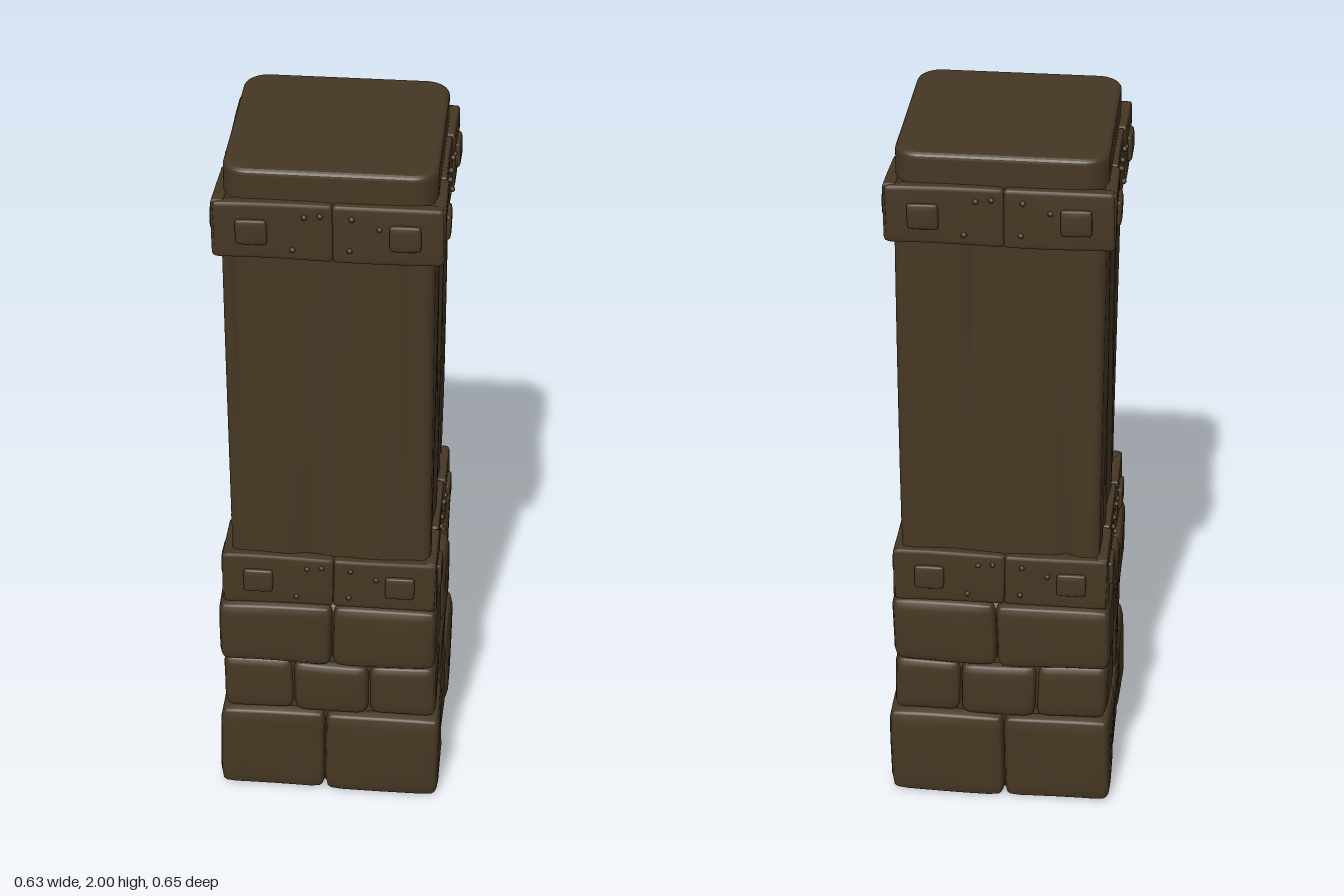
import * as THREE from 'three';
import { mergeVertices } from 'three/addons/utils/BufferGeometryUtils.js';

const brown = new THREE.MeshStandardMaterial({ color: 0x463723 });
brown.name = 'dark brown';

// Smooth, repeatable unevenness
const wave = (x, y, z) =>
  Math.sin(x * 13 + y * 9 + 1.3) * 0.5 + Math.sin(z * 15 - y * 11 + x * 5 + 0.4) * 0.5;

// Rounded block between two corners, its points moved by an optional rule
function block(name, lo, hi, radius, segs, rule) {
  const g = new THREE.BoxGeometry(2, 2, 2, ...segs);
  g.deleteAttribute('uv');
  g.deleteAttribute('normal');
  const a = new THREE.Vector3(...lo), b = new THREE.Vector3(...hi);
  const mid = a.clone().add(b).multiplyScalar(0.5);
  const half = b.clone().sub(a).multiplyScalar(0.5);
  const inner = half.clone().subScalar(radius);
  const p = new THREE.Vector3(), c = new THREE.Vector3();
  const pos = g.attributes.position;
  const ease = u => Math.sin(u * Math.PI / 2);
  for (let i = 0; i < pos.count; i++) {
    p.fromBufferAttribute(pos, i);
    p.set(ease(p.x), ease(p.y), ease(p.z)).multiply(half);
    c.copy(p).clamp(inner.clone().negate(), inner);
    p.sub(c).setLength(radius).add(c).add(mid);
    if (rule) rule(p);
    pos.setXYZ(i, p.x, p.y, p.z);
  }
  const merged = mergeVertices(g, 1e-5);
  merged.computeVertexNormals();
  const mesh = new THREE.Mesh(merged, brown);
  mesh.name = name;
  return mesh;
}

const wobble = amount => p => {
  const { x, y, z } = p;
  p.x += amount * wave(y, z, x);
  p.z += amount * wave(z, x, y);
  p.y = Math.max(0, y + (y > 0.03 ? amount * wave(x, z, y) : 0));
};

// Three courses of pillowy stones around a core
function stoneBase() {
  const group = new THREE.Group();
  group.name = 'stoneBase';
  const courses = [
    { y: [0, 0.285], x: [-0.312, -0.01, 0.312], z: [-0.316, -0.1, 0.1, 0.316] },
    { y: [0.28, 0.46], x: [-0.304, -0.1, 0.11, 0.304], z: [-0.306, -0.07, 0.12, 0.306] },
    { y: [0.455, 0.662], x: [-0.306, 0.01, 0.306], z: [-0.314, -0.105, 0.1, 0.314] },
  ];
  for (const { y, x, z } of courses)
    for (let i = 0; i < x.length - 1; i++)
      for (let k = 0; k < z.length - 1; k++) {
        const out = 0.004 * Math.sin(i * 2.3 + k * 3.1 + y[0] * 20);
        const lo = [x[i] - (i ? 0 : out), y[0], z[k] - (k ? 0 : out)];
        const hi = [x[i + 1] + (i === x.length - 2 ? out : 0), y[1], z[k + 1] + (k === z.length - 2 ? out : 0)];
        group.add(block('stone', lo, hi, 0.03, [8, 8, 8], wobble(0.004)));
      }
  group.add(block('stoneCore', [-0.285, 0.01, -0.285], [0.285, 0.66, 0.285], 0.02, [6, 6, 6]));
  return group;
}

// Cracks: face axis and side, place across the face, wide end, narrow end, width, depth
const cracks = [
  ['z', 1, -0.23, 1.78, 1.2, 0.035, 0.02], ['z', 1, 0.21, 1.78, 1.0, 0.03, 0.015],
  ['z', 1, -0.06, 0.8, 1.15, 0.05, 0.012], ['x', 1, 0.0, 1.78, 1.15, 0.045, 0.028],
  ['x', 1, -0.2, 1.78, 1.3, 0.04, 0.022], ['x', 1, -0.22, 0.8, 1.2, 0.04, 0.018],
  ['z', -1, 0.06, 1.78, 1.1, 0.04, 0.024], ['z', -1, -0.18, 0.8, 1.3, 0.035, 0.018],
  ['x', -1, 0.08, 1.78, 1.2, 0.045, 0.024], ['x', -1, -0.14, 0.8, 1.25, 0.04, 0.018],
];

function crackWood(p) {
  const { x, y, z } = p;
  for (const [axis, side, at, wide, tip, width, depth] of cracks) {
    const out = axis === 'x' ? x : z, across = axis === 'x' ? z : x;
    if (out * side < 0.26) continue;
    const t = Math.min(1, (y - tip) / (wide - tip));
    if (t <= 0) continue;
    const d = Math.abs(across - at) / (width * (0.4 + 0.6 * t));
    p[axis] -= side * depth * Math.sqrt(t) * Math.max(0, 1 - d);
  }
  p.x += 0.003 * Math.sin(z * 28 + y * 2);
  p.z += 0.003 * Math.sin(x * 26 - y * 2);
}

// Strap around the post, with corner pieces, square studs and nails
function strap(y, name) {
  const group = new THREE.Group();
  group.name = name;
  const h = 0.08;
  group.add(block('strapBand', [-0.286, y - h + 0.004, -0.286], [0.286, y + h - 0.004, 0.286], 0.012, [10, 6, 10], wobble(0.002)));
  for (let s = 0; s < 4; s++) {
    const side = new THREE.Group();
    side.name = 'strapSide';
    side.rotation.y = s * Math.PI / 2;
    const seams = s % 2 ? [-0.293, -0.12, 0.12, 0.293] : [-0.293, 0.01, 0.293];
    for (let i = 0; i < seams.length - 1; i++)
      side.add(block('strapPlate', [seams[i], y - h, 0.26], [seams[i + 1], y + h, 0.295 - (i === 1 && s % 2 ? 0.005 : 0)],
        0.008, [8, 6, 4], wobble(0.003)));
    for (const x of [-0.195, 0.195])
      side.add(block('squareStud', [x - 0.042, y - 0.038, 0.27], [x + 0.042, y + 0.035, 0.307], 0.012, [6, 6, 4], wobble(0.003)));
    for (const [x, dy] of [[-0.09, -0.05], [-0.06, 0.045], [0.06, 0.045], [0.055, -0.045], [0.13, 0.02], [-0.02, 0.05]]) {
      const nail = new THREE.Mesh(new THREE.SphereGeometry(0.008, 8, 6), brown);
      nail.name = 'nail';
      nail.position.set(x, y + dy, 0.293);
      side.add(nail);
    }
    group.add(side);
  }
  return group;
}

// Worn block on top, rounded in plan with a soft upper rim
function cap() {
  const r = 0.05, w = 0.258, s = new THREE.Shape();
  for (let q = 0; q < 4; q++) {
    const a = q * Math.PI / 2, t = a + Math.PI / 4;
    s.absarc(Math.sign(Math.cos(t)) * (w - r), Math.sign(Math.sin(t)) * (w - r), r, a, a + Math.PI / 2);
  }
  s.closePath();
  let g = new THREE.ExtrudeGeometry(s, {
    depth: 0.1, bevelThickness: 0.015, bevelSize: 0.015, bevelSegments: 4, curveSegments: 6,
  });
  g.rotateX(-Math.PI / 2).translate(0, 1.885, 0);
  const mesh = new THREE.Mesh(g, brown);
  mesh.name = 'cap';
  return mesh;
}

export function createModel() {
  const model = new THREE.Group();
  model.name = 'pillar';
  model.add(
    stoneBase(),
    block('woodenPost', [-0.273, 0.64, -0.273], [0.273, 1.9, 0.273], 0.025, [44, 24, 44], crackWood),
    strap(0.738, 'lowerStrap'),
    strap(1.838, 'upperStrap'),
    cap(),
  );
  return model;
}
